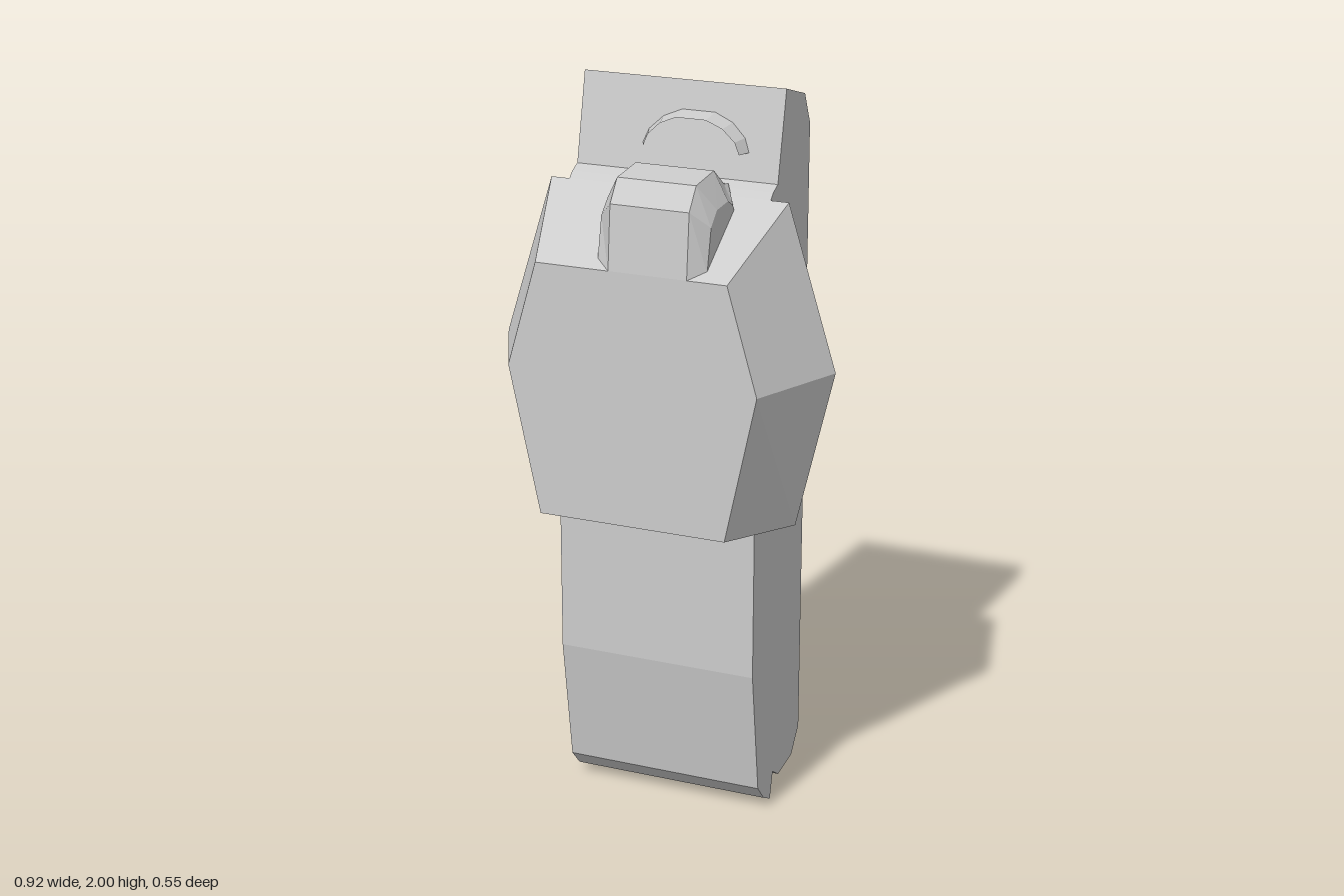
import * as THREE from 'three';

const material = new THREE.MeshStandardMaterial({ color: 0xcccccc, flatShading: true });
const thinMaterial = new THREE.MeshStandardMaterial({ color: 0xcccccc, flatShading: true, side: THREE.DoubleSide });

// Joins rings of [x, y, z] points with quads; closed rings get end caps.
function loft(rings, closed = true) {
  const n = rings[0].length, last = rings.length - 1, index = [];
  const id = (r, j) => r * n + (j % n);
  for (let r = 0; r < last; r++) {
    for (let j = 0; j < (closed ? n : n - 1); j++) {
      index.push(id(r, j), id(r, j + 1), id(r + 1, j + 1), id(r, j), id(r + 1, j + 1), id(r + 1, j));
    }
  }
  if (closed) {
    for (let j = 1; j < n - 1; j++) {
      index.push(id(0, 0), id(0, j + 1), id(0, j));
      index.push(id(last, 0), id(last, j), id(last, j + 1));
    }
  }
  const indexed = new THREE.BufferGeometry();
  indexed.setAttribute('position', new THREE.Float32BufferAttribute(rings.flat(2), 3));
  indexed.setIndex(index);
  const geometry = indexed.toNonIndexed();
  geometry.computeVertexNormals();
  return geometry;
}

function part(name, geometry, mat = material) {
  const mesh = new THREE.Mesh(geometry, mat);
  mesh.name = name;
  return mesh;
}

// Long case: side profile as (z, y), extruded across the width
function makeBody() {
  const profile = [
    [-0.09, 2], [-0.23, 1.957], [-0.273, 1.87], [-0.273, 0.12], [-0.218, 0.055], [-0.11, 0.045],
    [-0.065, 0.075], [-0.045, 0], [0.005, 0.028], [0.052, 0.08], [0.105, 0.44], [0.105, 1.62],
    [0.018, 1.735], [-0.002, 1.752], [-0.035, 1.765],
  ].map(([z, y]) => new THREE.Vector2(z, y));
  const geometry = new THREE.ExtrudeGeometry(new THREE.Shape(profile), { depth: 0.556, bevelEnabled: false });
  return geometry.translate(0, 0, -0.278).rotateY(-Math.PI / 2);
}

// Six-sided front plate, tapering from back to front
function makePlate() {
  const ring = (half, z) => [
    ...half.map(([x, y]) => [x, y, z]),
    ...half.slice().reverse().map(([x, y]) => [-x, y, z]),
  ];
  return loft([
    ring([[0.36, 0.863], [0.462, 1.3], [0.328, 1.737]], 0.018),
    ring([[0.258, 0.898], [0.342, 1.3], [0.26, 1.585]], 0.272),
  ]);
}

// Raised catch: a wide middle strip with lower, chamfered cheeks
function makeCatch() {
  const centre = 0.047;
  const middle = [[0.272, 1.585], [0.256, 1.755], [0.21, 1.812], [0.09, 1.82], [0.02, 1.768], [-0.012, 1.76], [-0.012, 1.725]];
  const cheek = [[0.24, 1.6], [0.215, 1.71], [0.175, 1.745], [0.1, 1.748], [0.065, 1.728], [0.058, 1.715], [0.058, 1.7]];
  const ring = (points, x) => points.map(([z, y]) => [centre + x, y, z]);
  return loft([ring(cheek, 0.148), ring(middle, 0.106), ring(middle, -0.106), ring(cheek, -0.148)]);
}

// Thin arched lip, narrowing slightly towards the front
function makeLip() {
  const half = [[0.146, 1.835], [0.132, 1.87], [0.095, 1.905], [0.045, 1.926]];
  const arch = half.concat(half.slice().reverse().map(([x, y]) => [-x, y]));
  const back = arch.map(([x, y]) => [0.047 + x, y, -0.035 - (y - 1.765) * 0.234]);
  const front = arch.map(([x, y]) => [0.047 + x * 0.9, 1.835 + (y - 1.835) * 0.9, -0.018]);
  return loft([back, front], false);
}

export function createModel() {
  const model = new THREE.Group();
  model.name = 'clipDevice';
  model.add(
    part('body', makeBody()),
    part('frontPlate', makePlate()),
    part('catch', makeCatch()),
    part('archedLip', makeLip(), thinMaterial),
  );
  return model;
}
